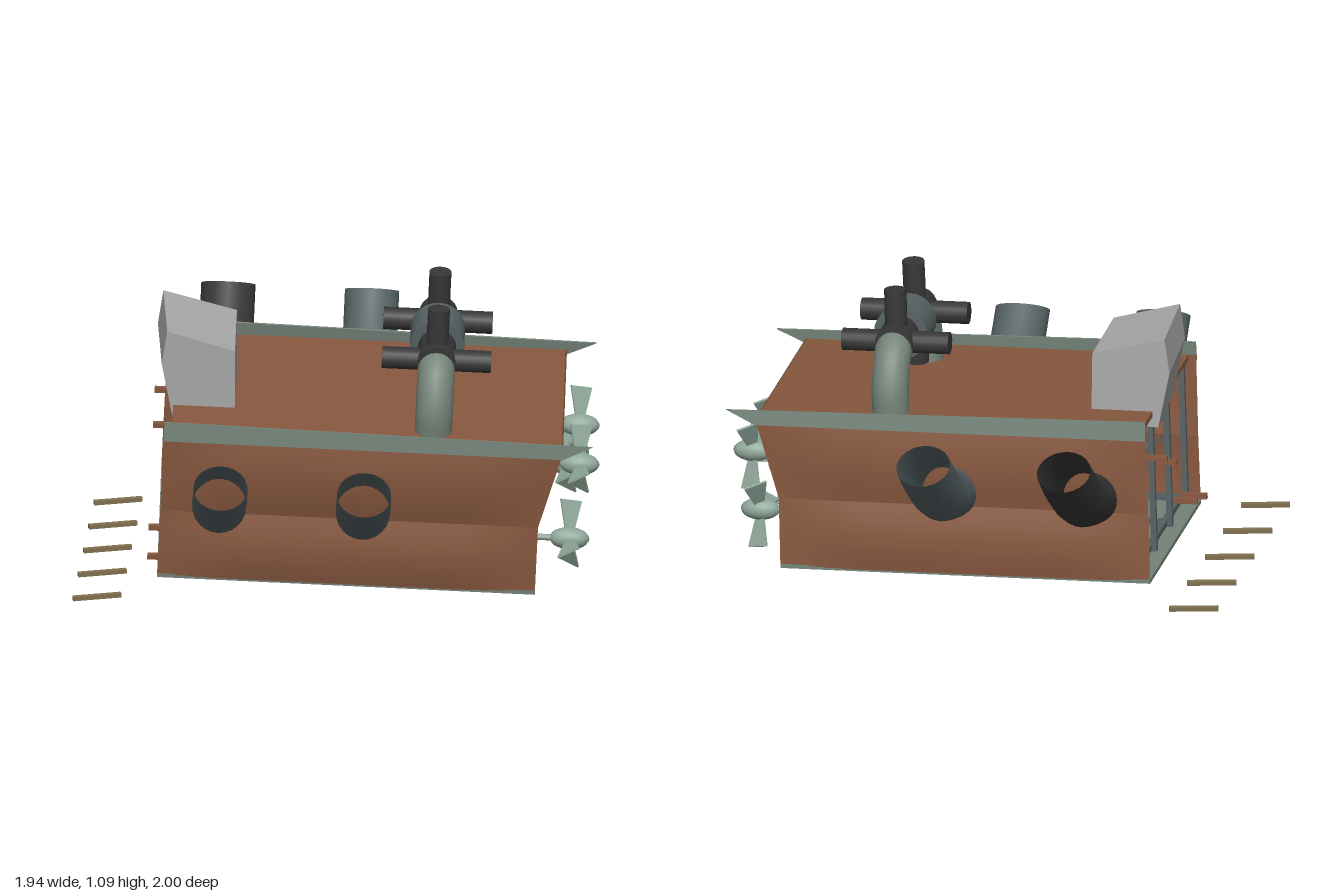
import * as THREE from 'three';

const paint = (name, color, side = THREE.FrontSide) => {
  const m = new THREE.MeshStandardMaterial({ color, side });
  m.name = name;
  return m;
};

export function createModel() {
  const root = new THREE.Group();
  const rust = paint('rust brown', 0x87583f, THREE.DoubleSide);
  const green = paint('weathered green', 0x758479, THREE.DoubleSide);
  const slate = paint('slate', 0x566264, THREE.DoubleSide);
  const charcoal = paint('charcoal', 0x373737, THREE.DoubleSide);
  const mint = paint('pale green', 0x8fa699);
  const grey = paint('light grey', 0xa9a9a9);
  const tan = paint('tan', 0x80704f);

  // The vessel lists slightly, so all its parts share one tilted group
  const ship = new THREE.Group();
  ship.name = 'vessel';
  ship.position.set(0.015, 0.072, -0.045);
  ship.rotation.set(0.072, 0.063, -0.05);
  root.add(ship);

  const add = (name, geo, mat, parent = ship, x = 0, y = 0, z = 0) => {
    const m = new THREE.Mesh(geo, mat);
    m.name = name;
    m.position.set(x, y, z);
    parent.add(m);
    return m;
  };
  const box = (w, h, d) => new THREE.BoxGeometry(w, h, d);

  // Hull outline as a function of height: half width and +x end
  const MID = 0.27, TOP = 0.586, LEFT = -0.71;
  const rowT = y => (y <= MID ? y / MID : (y - MID) / (TOP - MID));
  const halfWidth = y => (y <= MID ? 0.457 - 0.009 * rowT(y) : 0.448 + 0.009 * rowT(y));
  const endX = y => (y <= MID ? 0.71 : 0.71 + 0.08 * rowT(y));

  // Sheet of plating shaped by a rule (u, v in 0..1)
  const sheet = (nu, nv, rule) => {
    const g = new THREE.PlaneGeometry(1, 1, nu, nv);
    const p = g.attributes.position;
    for (let i = 0; i < p.count; i++) {
      p.setXYZ(i, ...rule(p.getX(i) + 0.5, p.getY(i) + 0.5));
    }
    g.computeVertexNormals();
    return g;
  };

  // Side walls and end wall, in a lower and an upper row of cushioned panels
  for (const [name, y0, y1] of [['lower', 0, MID], ['upper', MID, TOP]]) {
    const yOf = v => Math.min(y0 + (y1 - y0) * v, y1);
    for (const s of [1, -1]) {
      add(name + 'SideWall', sheet(24, 8, (u, v) => {
        const y = yOf(v);
        const puff = 0.02 * Math.sin(Math.PI * v) * Math.min(1, 6 * u * (1 - u));
        return [LEFT + (endX(y) - LEFT) * u, y, s * (halfWidth(y) + puff)];
      }), rust);
    }
    const scallop = name === 'upper' ? 0.02 : 0;
    for (let k = 0; k < 4; k++) {
      add(name + 'EndPanel', sheet(6, 8, (u, v) => {
        const y = yOf(v);
        const dip = scallop * Math.sin(Math.PI * u) * Math.sin(Math.PI * v);
        return [endX(y) - dip, y, halfWidth(y) * (1 - (k + u) / 2)];
      }), rust);
    }
  }

  // Deck and floor
  add('deck', box(1.465, 0.02, 0.91), rust, ship, 0.0525, 0.577, 0);
  add('floor', box(1.42, 0.016, 0.915), green, ship, 0, 0.004, 0);

  // Rails along both long edges, pointed at the end
  for (const s of [1, -1]) {
    const rail = new THREE.Shape([
      new THREE.Vector2(-0.71, 0), new THREE.Vector2(0.79, 0),
      new THREE.Vector2(0.9, 0.055), new THREE.Vector2(-0.71, 0.075)
    ]);
    const g = new THREE.ExtrudeGeometry(rail, { depth: 0.008, bevelEnabled: false });
    g.translate(0, 0, -0.004);
    add('rail', g, green, ship, 0, 0.565, s * 0.465).rotation.x = -s * 0.12;
  }

  // Frames and loose planks inside the open end
  for (const z of [-0.42, -0.14, 0.14, 0.42]) {
    add('framePost', box(0.022, 0.55, 0.022), slate, ship, -0.66, 0.29, z);
    add('frameFloorBar', box(0.6, 0.022, 0.022), slate, ship, -0.37, 0.03, z);
    add('innerPost', box(0.022, 0.55, 0.022), slate, ship, -0.3, 0.29, z);
  }
  add('frameCrossBar', box(0.022, 0.022, 0.84), slate, ship, -0.64, 0.03, 0);
  for (const [y, z] of [[0.43, -0.27], [0.36, -0.11], [0.09, 0.22], [0.05, 0.39]]) {
    add('loosePlank', box(0.1, 0.02, 0.02), rust, ship, -0.7, y, z);
  }

  // Big curved open pipes, mirrored front and back, with mouths cut flatter
  const SEGS = 6, SIDES = 24;
  for (const x of [-0.49, 0.05]) {
    for (const s of [1, -1]) {
      const pts = [[0.315, 0.4], [0.37, 0.6], [0.485, 0.78], [0.585, 0.9]]
        .map(([y, z]) => new THREE.Vector3(x, y, s * z));
      const g = new THREE.TubeGeometry(new THREE.CatmullRomCurve3(pts), SEGS, 0.102, SIDES);
      const p = g.attributes.position, v = new THREE.Vector3(), axis = new THREE.Vector3(1, 0, 0);
      for (let i = SEGS * (SIDES + 1); i < p.count; i++) {
        v.fromBufferAttribute(p, i).sub(pts[3]).applyAxisAngle(axis, -s * 0.36).add(pts[3]);
        p.setXYZ(i, v.x, v.y, v.z);
      }
      add('sidePipe', g, x < 0 && s < 0 ? charcoal : slate);
    }
  }

  // Deck pipework: two elbows, valve crosses and a central coupling
  const works = new THREE.Group();
  works.name = 'deckPipework';
  works.position.set(0.3, 0.008, 0);
  ship.add(works);
  for (const s of [1, -1]) {
    const path = new THREE.CatmullRomCurve3([[0.56, 0.305], [0.67, 0.305], [0.78, 0.245], [0.815, 0.15]]
      .map(([y, z]) => new THREE.Vector3(0, y, s * z)));
    add('elbow', new THREE.TubeGeometry(path, 14, 0.07, 20), green, works);
    const link = add('link', new THREE.CylinderGeometry(0.072, 0.072, 0.16, 20), charcoal, works, 0, 0.815, s * 0.15);
    link.rotation.x = Math.PI / 2;
    const cross = new THREE.Group();
    cross.name = 'valveCross';
    cross.position.set(0, 0.81, s * 0.172);
    cross.rotation.x = s > 0 ? -0.07 : 0.03;
    works.add(cross);
    const bar = new THREE.CylinderGeometry(0.042, 0.042, 0.41, 18);
    add('uprightBar', bar, charcoal, cross);
    add('crossBar', bar, charcoal, cross).rotation.z = Math.PI / 2;
    add('valveHub', new THREE.SphereGeometry(0.075, 18, 12), charcoal, cross);
  }
  const ring = add('coupling', new THREE.CylinderGeometry(0.102, 0.102, 0.17, 24), slate, works, 0, 0.815, -0.015);
  ring.rotation.x = Math.PI / 2;

  // Propellers on the end wall
  for (const [x, y, z] of [[0.83, 0.146, 0.264], [0.855, 0.375, 0.091], [0.85, 0.382, -0.236], [0.81, 0.18, -0.32]]) {
    const prop = new THREE.Group();
    prop.name = 'propeller';
    prop.position.set(x, y, z);
    ship.add(prop);
    add('hub', new THREE.SphereGeometry(0.042, 16, 12), mint, prop).scale.x = 1.8;
    const shaft = add('shaft', new THREE.CylinderGeometry(0.012, 0.012, 0.14, 10), mint, prop, -0.08);
    shaft.rotation.z = Math.PI / 2;
    for (let k = 0; k < 3; k++) {
      const arm = new THREE.Group();
      arm.name = 'bladeArm';
      // Blade grows along +y, fanned about the shaft and pitched
      arm.rotation.x = -0.58 + k * Math.PI * 2 / 3;
      prop.add(arm);
      const g = box(0.09, 0.12, 0.008);
      const p = g.attributes.position;
      for (let i = 0; i < p.count; i++) if (p.getY(i) < 0) p.setX(i, p.getX(i) * 0.4);
      g.computeVertexNormals();
      add('blade', g, mint, arm, 0, 0.085, 0).rotation.y = 0.5;
    }
  }

  // Cabin: a wedge-sided block on the deck, a little longer at the back
  const side = new THREE.Shape([[-0.654, 0.985], [-0.675, 0.85], [-0.635, 0.63], [-0.4, 0.63], [-0.4, 0.905]]
    .map(([x, y]) => new THREE.Vector2(x + 0.54, y - 0.8)));
  const cabinGeo = new THREE.ExtrudeGeometry(side, { depth: 0.38, bevelEnabled: false });
  cabinGeo.translate(0, 0, -0.19);
  const cp = cabinGeo.attributes.position;
  for (let i = 0; i < cp.count; i++) {
    if (cp.getZ(i) < 0 && cp.getX(i) < 0) cp.setX(i, cp.getX(i) - 0.022);
  }
  cabinGeo.computeVertexNormals();
  add('cabin', cabinGeo, grey, root, -0.54, 0.8, 0.04).rotation.set(0.05, 0.06, 0);

  // Row of planks lying on the ground by the open end
  for (let i = 0; i < 5; i++) {
    const plank = add('groundPlank', box(0.185, 0.016, 0.02), tan, root, -0.88, 0.032, -0.41 + i * 0.249);
    plank.rotation.y = 0.3;
  }

  return root;
}
